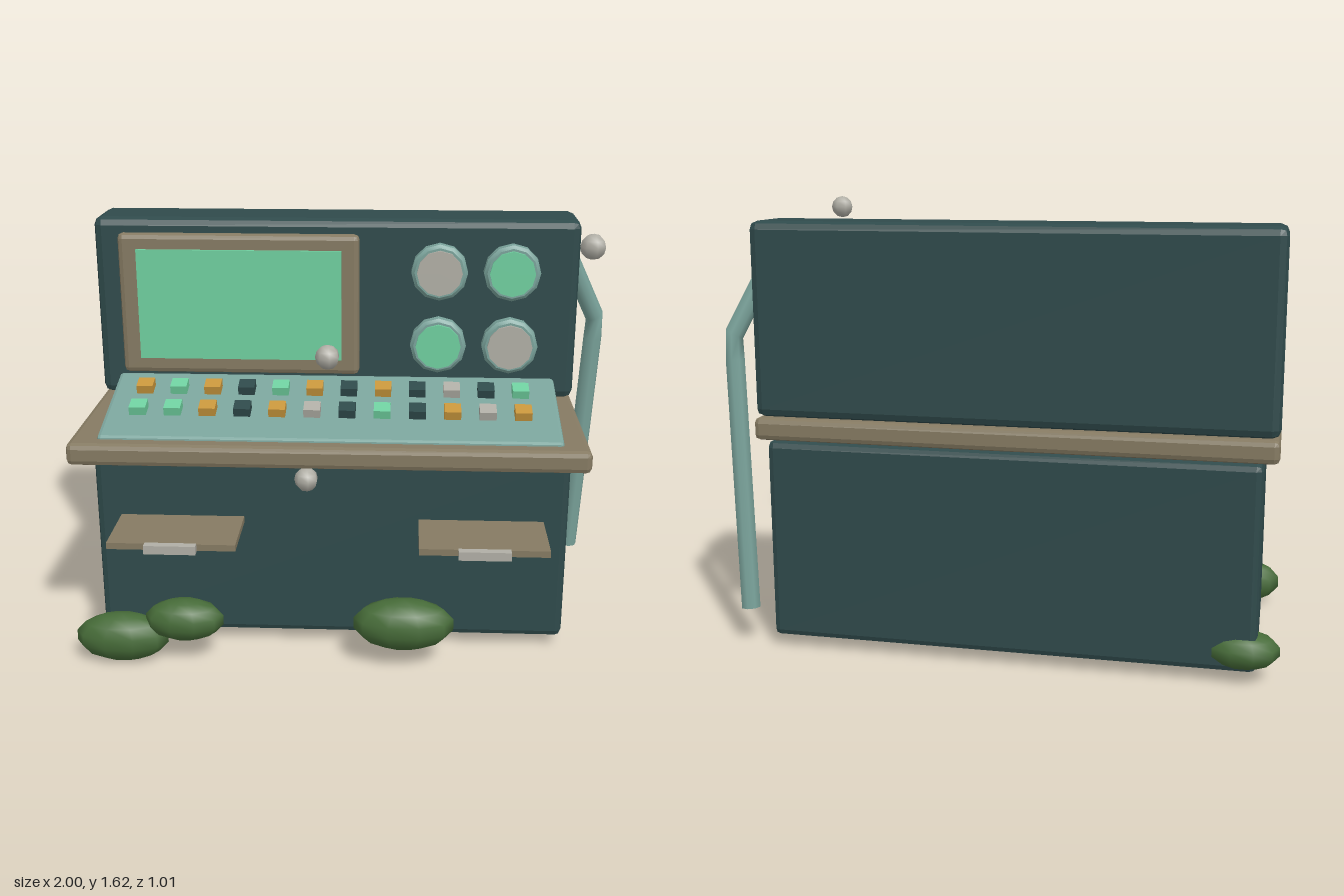
import * as THREE from 'three';
import { RoundedBoxGeometry } from 'three/addons/geometries/RoundedBoxGeometry.js';
import { toCreasedNormals } from 'three/addons/utils/BufferGeometryUtils.js';

const material = (name, color) => {
  const m = new THREE.MeshStandardMaterial({ color });
  m.name = name;
  return m;
};

export function createModel() {
  const group = new THREE.Group();
  const shell = material('dark teal', 0x2f4a4b);
  const wood = material('taupe', 0x857a62);
  const metal = material('pale teal', 0x7aa39b);
  const glow = material('mint', 0x6fcf9f);
  const amber = material('amber', 0xc8963c);
  const grey = material('warm grey', 0xb0aea5);
  const moss = material('moss green', 0x466b38);

  const add = (name, geometry, mat, x, y, z, parent = group) => {
    const mesh = new THREE.Mesh(geometry, mat);
    mesh.name = name;
    mesh.position.set(x, y, z);
    parent.add(mesh);
    return mesh;
  };

  // Box with crisp chamfered edges
  const chamferBox = (w, h, d, bevel) => {
    const g = new RoundedBoxGeometry(w, h, d, 1, bevel);
    g.computeVertexNormals();
    return g;
  };

  // Cabinet, desk top and upright housing
  add('cabinet', chamferBox(1.75, 0.735, 0.69, 0.025), shell, -0.055, 0.417, -0.126);
  add('deskTop', chamferBox(1.846, 0.082, 0.88, 0.02), wood, -0.057, 0.826, -0.032);
  add('housing', chamferBox(1.846, 0.695, 0.256, 0.03), shell, -0.057, 1.214, -0.328);

  // Screen in its frame
  add('screenFrame', chamferBox(0.92, 0.546, 0.06, 0.02), wood, -0.426, 1.233, -0.2);
  add('screen', new THREE.BoxGeometry(0.78, 0.425, 0.02), glow, -0.424, 1.235, -0.169);

  // Four round dials
  const bezelProfile = [[0.107, 0], [0.107, 0.045], [0.095, 0.055], [0, 0.055]]
    .map(([r, y]) => new THREE.Vector2(r, y));
  const bezel = toCreasedNormals(new THREE.LatheGeometry(bezelProfile, 12), 0.6).rotateX(Math.PI / 2);
  const face = toCreasedNormals(new THREE.CylinderGeometry(0.086, 0.086, 0.02, 12), 0.6).rotateX(Math.PI / 2);
  [[0.337, 1.37, grey], [0.61, 1.37, glow], [0.337, 1.086, glow], [0.61, 1.086, grey]]
    .forEach(([x, y, mat]) => {
      add('dialBezel', bezel, metal, x, y, -0.207);
      add('dialFace', face, mat, x, y, -0.151);
    });

  // Sloped control panel with two rows of buttons hovering over it
  const tilt = 0.255;
  const panel = add('controlPanel', chamferBox(1.655, 0.045, 0.452, 0.015), metal, -0.053, 0.911, 0.128);
  panel.rotation.x = tilt;
  const button = new THREE.BoxGeometry(0.06, 0.032, 0.06);
  const colours = { a: amber, g: glow, d: shell, w: grey };
  [['agadgadadwdg', 0.985, 0.077], ['ggadawdgdawa', 0.95, 0.225]].forEach(([row, y, z]) => {
    [...row].forEach((c, i) => {
      add('button', button, colours[c], -0.749 + i * 0.1259, y, z).rotation.x = tilt;
    });
  });

  // Pull-out trays with grips
  for (const x of [-0.607, 0.5]) {
    add('tray', new THREE.BoxGeometry(0.46, 0.024, 0.28), wood, x, 0.513, 0.338);
    add('trayGrip', new THREE.BoxGeometry(0.184, 0.032, 0.03), grey, x, 0.513, 0.492);
  }

  // Bent pipe on the left side
  const [start, bend, end] = [[0.84, 1.4, -0.335], [0.962, 1.15, -0.39], [0.917, 0.145, -0.445]]
    .map((p) => new THREE.Vector3(...p));
  const path = new THREE.CurvePath();
  path.add(new THREE.LineCurve3(start, bend));
  path.add(new THREE.LineCurve3(bend, end));
  add('pipe', new THREE.TubeGeometry(path, 14, 0.036, 8, false), metal, 0, 0, 0);
  const dir = end.clone().sub(bend);
  add('pipeEnd', new THREE.CircleGeometry(0.036, 8), metal, end.x, end.y, end.z).lookAt(end.clone().add(dir));
  add('pipeStart', new THREE.CircleGeometry(0.036, 8), metal, start.x, start.y, start.z)
    .lookAt(start.clone().multiplyScalar(2).sub(bend));

  // Moss clumps around the base
  const clump = new THREE.SphereGeometry(1, 10, 7);
  [
    [-0.823, 0.1, 0.375, 0.175, 0.093, 0.085],
    [-0.588, 0.176, 0.375, 0.148, 0.08, 0.08],
    [0.22, 0.176, 0.375, 0.188, 0.098, 0.09],
    [-0.88, 0.12, -0.42, 0.13, 0.068, 0.09],
  ].forEach(([x, y, z, rx, ry, rz]) => {
    add('mossClump', clump, moss, x, y, z).scale.set(rx, ry, rz);
  });

  // Small floating beads
  const bead = new THREE.SphereGeometry(0.043, 7, 6);
  [[0.82, 1.58], [-0.053, 1.193], [-0.13, 0.745]].forEach(([x, y]) => {
    add('bead', bead, grey, x, y, 0.39);
  });

  return group;
}
